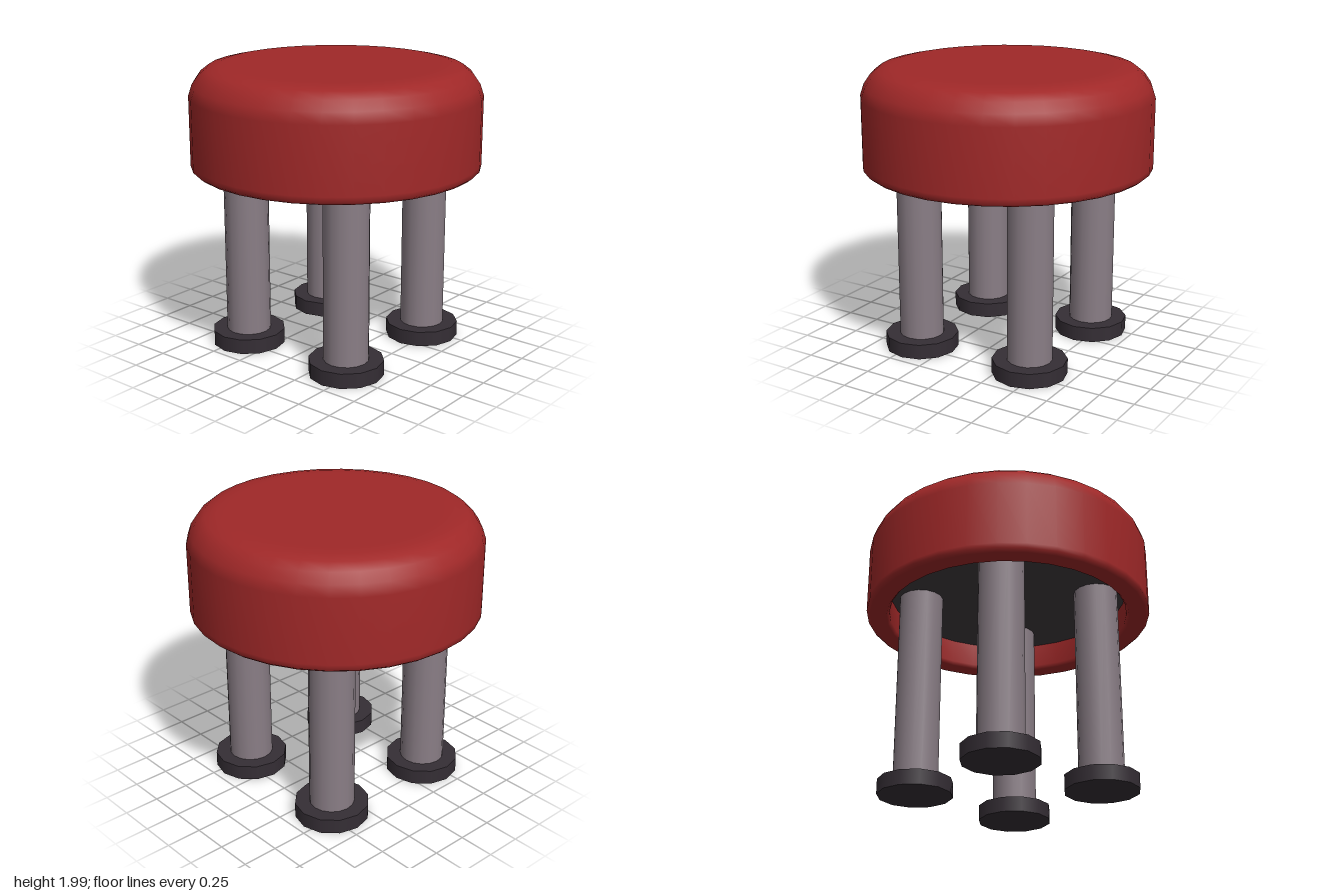
import * as THREE from 'three';

const material = (color) => new THREE.MeshStandardMaterial({ color });

export function createModel() {
  const stool = new THREE.Group();
  stool.name = 'stool';
  const red = material(0xa02828);
  const metal = material(0x8a7e86);
  const rubber = material(0x352e35);
  const board = material(0x403b3f);

  const add = (parent, name, geometry, mat, x, y, z) => {
    const mesh = new THREE.Mesh(geometry, mat);
    mesh.name = name;
    mesh.position.set(x, y, z);
    parent.add(mesh);
    return mesh;
  };

  // Padded cushion: hollow underside, rolled lower rim, rounded shoulder, flat top
  const profile = [
    [0.84, 1.48], [0.84, 1.31], [0.86, 1.285], [0.975, 1.285], [1, 1.305],
    [1, 1.34], [1, 1.79], [0.975, 1.865], [0.93, 1.93], [0.875, 1.973],
    [0.795, 1.991], [0.7, 1.993], [0, 1.993],
  ].map(([r, y]) => new THREE.Vector2(r, y));
  add(stool, 'cushion', new THREE.LatheGeometry(profile, 32), red, 0, 0, 0);

  // Board closing the recess under the cushion
  add(stool, 'seatBoard', new THREE.CylinderGeometry(0.845, 0.845, 0.04, 32), board, 0, 1.5, 0);

  // Four straight legs with round feet
  const legGeometry = new THREE.CylinderGeometry(0.155, 0.155, 1.4, 16);
  const footGeometry = new THREE.CylinderGeometry(0.257, 0.257, 0.105, 12);
  for (const sx of [-1, 1]) {
    for (const sz of [-1, 1]) {
      const leg = new THREE.Group();
      leg.name = (sz > 0 ? 'front' : 'back') + (sx > 0 ? 'Left' : 'Right') + 'Leg';
      leg.position.set(sx * 0.442, 0, sz * 0.442);
      add(leg, 'post', legGeometry, metal, 0, 0.79, 0);
      add(leg, 'foot', footGeometry, rubber, 0, 0.0525, 0);
      stool.add(leg);
    }
  }
  return stool;
}
